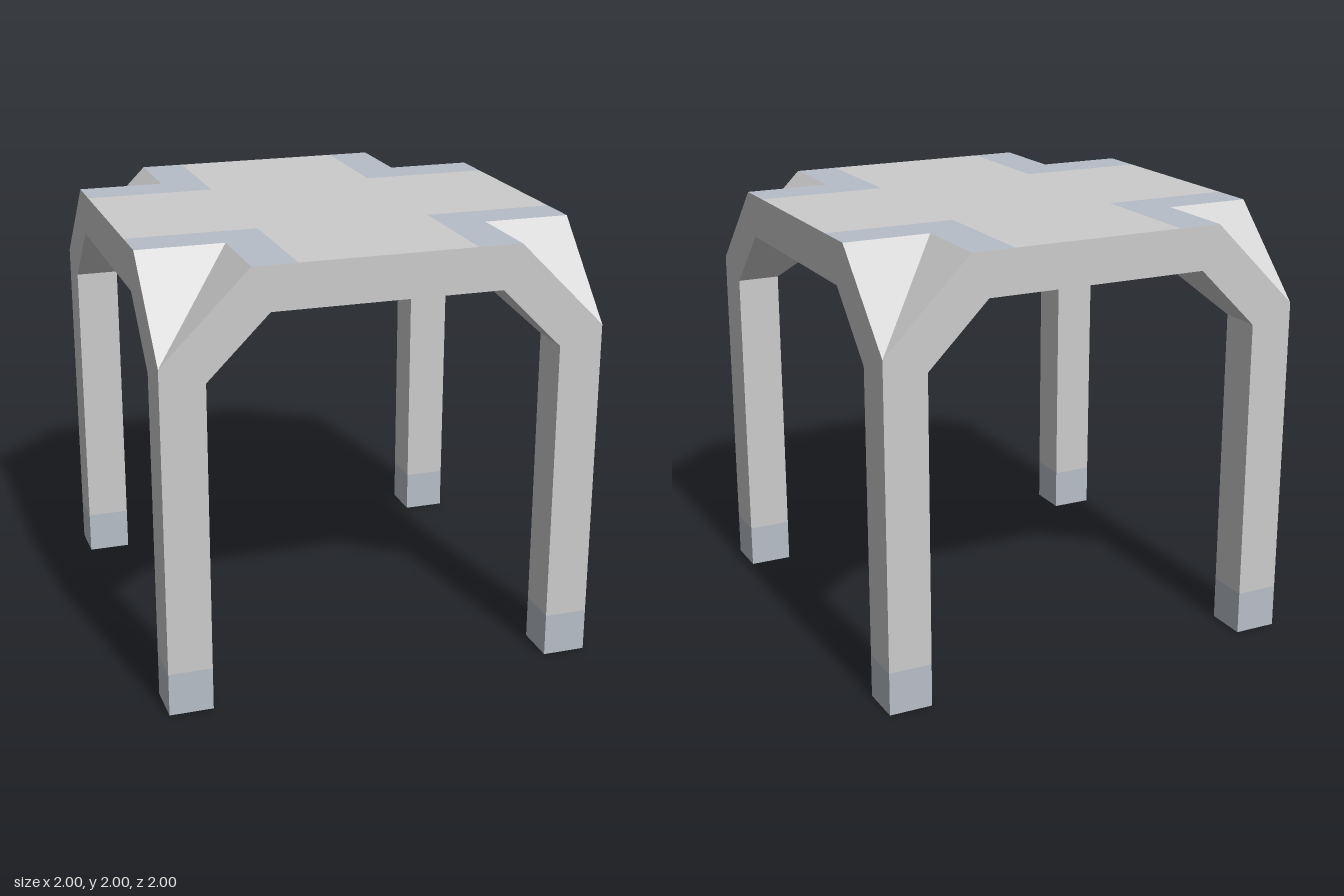
import * as THREE from 'three';

const grey = new THREE.MeshStandardMaterial({ color: 0xcccccc, flatShading: true });
const tint = new THREE.MeshStandardMaterial({ color: 0xb7bec8, flatShading: true });

// Flat-sided surface from polygons, each fanned from its first corner
function faceted(polygons) {
  const pos = [];
  for (const p of polygons)
    for (let i = 1; i < p.length - 1; i++) pos.push(...p[0], ...p[i], ...p[i + 1]);
  const g = new THREE.BufferGeometry();
  g.setAttribute('position', new THREE.Float32BufferAttribute(pos, 3));
  g.computeVertexNormals();
  return g;
}

// Adds the mirror image of each polygon across the corner diagonal (x <-> z)
const bothSides = (polys) => [
  ...polys,
  ...polys.map((p) => p.map(([x, y, z]) => [z, y, x]).reverse()),
];

// Upward L-shape: the square from a to 1 with the square b..1 removed, or
// (inner corner b outside) the strip running from a to b along both edges
const ell = (a, b, y) => [
  [b, y, b], [1, y, b], [1, y, a], [a, y, a], [a, y, 1], [b, y, 1],
];

export function createModel() {
  const model = new THREE.Group();
  model.name = 'table';

  // One quarter of the table, around the corner at +x +z
  const slab = faceted([
    ell(0, 0.4, 2), // upper surface
    [...ell(0, 0.52, 1.8)].reverse().map((_, i, r) => r[(i + 5) % 6]), // underside
    ...bothSides([[[0, 1.8, 1], [0.52, 1.8, 1], [0.6, 2, 1], [0, 2, 1]]]), // rim
  ]);
  const patch = faceted([ell(0.4, 0.6, 2)]);
  const brace = faceted(bothSides([
    [[0.52, 1.8, 1], [0.8, 1.52, 1], [1, 1.6, 1], [0.6, 2, 1]], // outer face
    [[1, 1.6, 1], [0.6, 2, 0.6], [0.6, 2, 1]], // valley slope above
    [[0.8, 1.52, 1], [0.52, 1.8, 1], [0.52, 1.8, 0.52], [0.8, 1.52, 0.8]], // slope below
  ]));
  const leg = faceted(bothSides([
    [[0.8, 0.2, 1], [1, 0.2, 1], [1, 1.6, 1], [0.8, 1.52, 1]], // outer face
    [[0.8, 0.2, 0.8], [0.8, 0.2, 1], [0.8, 1.52, 1], [0.8, 1.52, 0.8]], // inner face
  ]));
  const foot = new THREE.BoxGeometry(0.2, 0.2, 0.2).translate(0.9, 0.1, 0.9);

  const parts = [
    ['tabletop', slab, grey],
    ['cornerPatch', patch, tint],
    ['cornerBrace', brace, grey],
    ['leg', leg, grey],
    ['foot', foot, tint],
  ];

  // Four quarters turned about the centre
  for (let i = 0; i < 4; i++) {
    const quarter = new THREE.Group();
    quarter.name = 'tableQuarter' + (i + 1);
    quarter.rotation.y = (i * Math.PI) / 2;
    for (const [name, geometry, material] of parts) {
      const mesh = new THREE.Mesh(geometry, material);
      mesh.name = name;
      quarter.add(mesh);
    }
    model.add(quarter);
  }
  return model;
}
